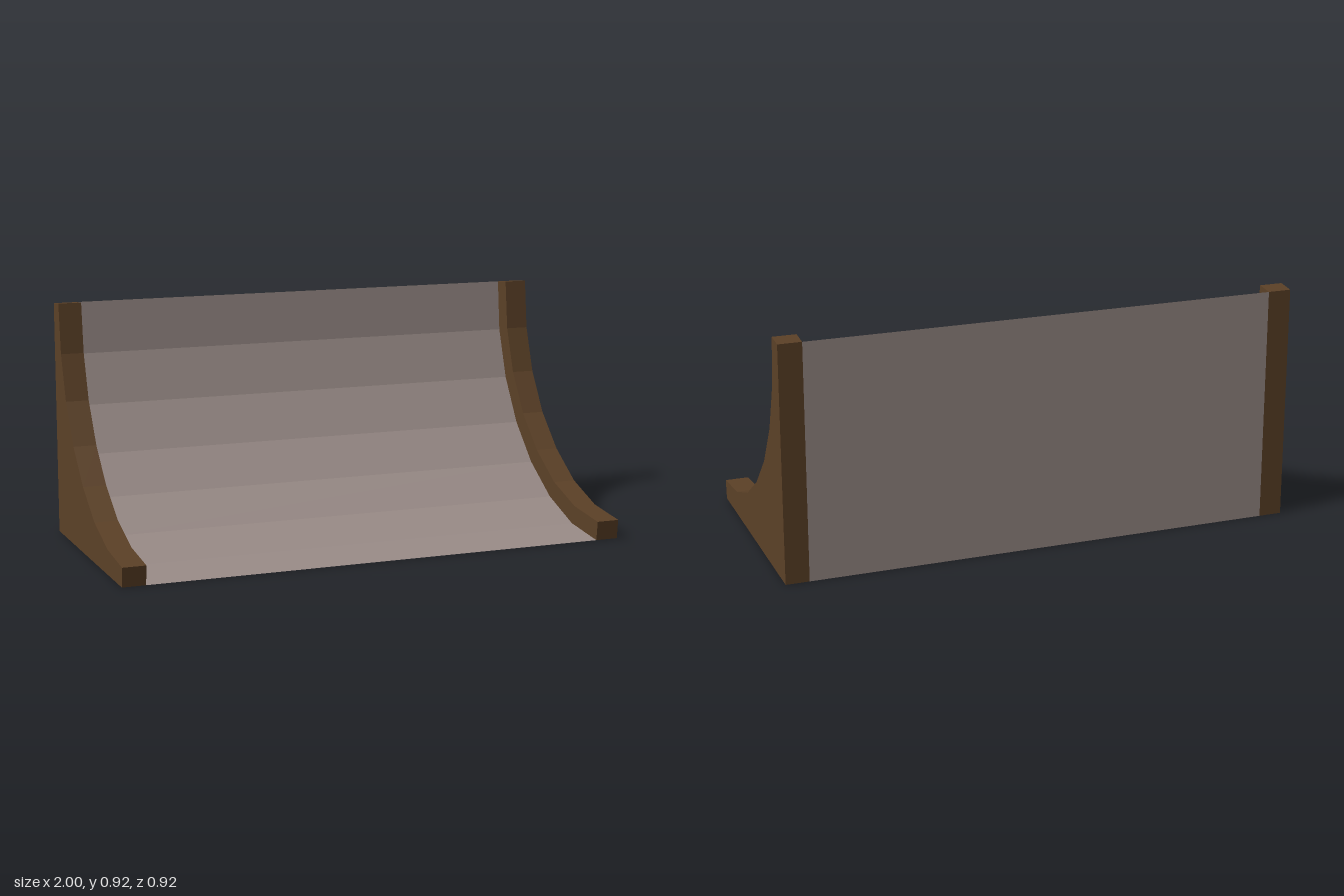
import * as THREE from 'three';

// Curves as [z, y], from the front lip up to the rear top
const rimCurve = [[0.46, 0.075], [0.266, 0.096], [0.088, 0.157], [-0.07, 0.259],
  [-0.202, 0.389], [-0.302, 0.547], [-0.363, 0.723], [-0.385, 0.917]];
const rampCurve = [[0.452, 0], [0.247, 0.022], [0.053, 0.09], [-0.12, 0.2],
  [-0.262, 0.342], [-0.371, 0.516], [-0.438, 0.709], [-0.458, 0.91]];

// Prism across x from a [z, y] outline
function prism(name, outline, width, x, color) {
  const shape = new THREE.Shape(outline.map(([z, y]) => new THREE.Vector2(z, y)));
  const geometry = new THREE.ExtrudeGeometry(shape, { depth: width, bevelEnabled: false });
  geometry.translate(0, 0, -width / 2).rotateY(-Math.PI / 2);
  const mesh = new THREE.Mesh(geometry, new THREE.MeshStandardMaterial({ color, flatShading: true }));
  mesh.name = name;
  mesh.position.x = x;
  return mesh;
}

export function createModel() {
  const group = new THREE.Group();
  group.name = 'quarterPipe';

  // Curved riding surface with flat back and base
  group.add(prism('ramp', [...rampCurve, [-0.458, 0]], 1.82, 0, 0x9a8c88));

  // Wooden end panels standing proud of the ramp
  const panel = [...rimCurve, [-0.458, 0.91], [-0.458, 0], [0.452, 0]];
  for (const [side, name] of [[1, 'leftPanel'], [-1, 'rightPanel']]) {
    group.add(prism(name, panel, 0.09, side * 0.955, 0x5c4127));
  }
  return group;
}
